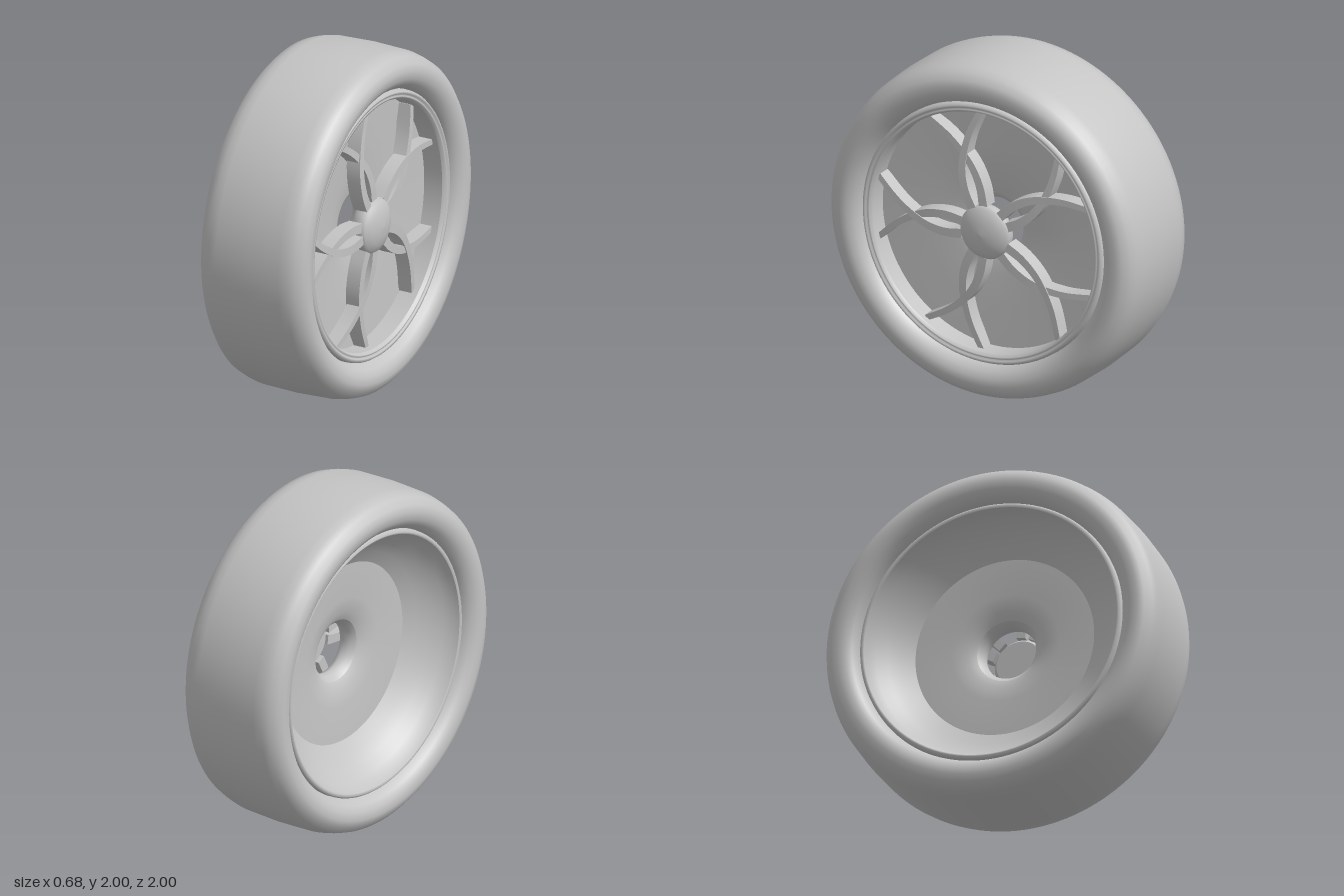
import * as THREE from 'three';

const grey = new THREE.MeshStandardMaterial({ color: 0xc4c4c4, side: THREE.DoubleSide });
grey.name = 'plain grey';

// Revolves a profile of [radius, x] points around the axle (the x axis)
function turned(name, profile, segments = 96) {
  const pts = profile.map(([r, x]) => new THREE.Vector2(r, x));
  const geo = new THREE.LatheGeometry(pts, segments);
  geo.rotateZ(-Math.PI / 2);
  const mesh = new THREE.Mesh(geo, grey);
  mesh.name = name;
  return mesh;
}

// Curved blade from hub to rim: a box bent along a centre line, radial direction +y
function spoke(side) {
  const path = new THREE.SplineCurve([
    [0.148, 0.036], [0.25, 0.05], [0.36, 0.038], [0.46, 0], [0.58, -0.075], [0.70, -0.185],
  ].map(([r, w]) => new THREE.Vector2(r, w * side)));
  const geo = new THREE.BoxGeometry(1, 1, 1, 20, 1, 1);
  const pos = geo.attributes.position;
  for (let i = 0; i < pos.count; i++) {
    const t = pos.getX(i) + 0.5;
    const p = path.getPoint(t), d = path.getTangent(t);
    const w = pos.getY(i) * (0.055 - 0.022 * t);
    const front = 0.26 - 0.03 * t * t - (side < 0 ? 0.006 : 0);
    const x = front - (0.5 - pos.getZ(i)) * 0.085;
    pos.setXYZ(i, x, p.x - d.y * w, p.y + d.x * w);
  }
  geo.computeVertexNormals();
  const mesh = new THREE.Mesh(geo, grey);
  mesh.name = side > 0 ? 'spokeA' : 'spokeB';
  return mesh;
}

export function createModel() {
  const wheel = new THREE.Group();
  wheel.name = 'wheel';
  wheel.position.y = 1;

  // Tyre: tread and both rounded sidewalls, mirrored about the middle
  const half = [[1, 0], [0.993, 0.2], [0.982, 0.25], [0.967, 0.293], [0.93, 0.328],
    [0.89, 0.341], [0.845, 0.335], [0.81, 0.312], [0.785, 0.28], [0.775, 0.24]];
  const back = half.slice(1).reverse().map(([r, x]) => [r, -x]);
  wheel.add(turned('tyre', [...back, ...half], 128));

  // Rim: straight front well, and a deep back barrel narrowing towards the disc
  wheel.add(turned('frontWell', [[0.72, 0.265], [0.72, 0.15]]));
  wheel.add(turned('backBarrel', [[0.53, -0.05], [0.6, -0.095], [0.66, -0.145],
    [0.71, -0.2], [0.738, -0.245], [0.75, -0.28]]));
  wheel.add(turned('frontLip', [[0.778, 0.24], [0.775, 0.275], [0.765, 0.29], [0.752, 0.288],
    [0.746, 0.276], [0.74, 0.284], [0.73, 0.284], [0.72, 0.265]]));
  wheel.add(turned('backLip', [[0.75, -0.28], [0.762, -0.288], [0.775, -0.275], [0.778, -0.24]]));

  // Disc: dished front face running into the bore, and a dished back face
  wheel.add(turned('discFront', [[0.72, 0.15], [0.48, 0.14], [0.3, 0.128], [0.19, 0.113],
    [0.158, 0.098], [0.15, 0.07], [0.155, 0.03], [0.183, 0]]));
  wheel.add(turned('discBack', [[0.183, 0], [0.23, -0.025], [0.32, -0.042], [0.53, -0.05]]));

  // Domed hub cap
  wheel.add(turned('hubBack', [[0, 0.18], [0.135, 0.18]], 48));
  wheel.add(turned('hubCap', [[0.135, 0.18], [0.156, 0.21], [0.16, 0.25], [0.145, 0.27],
    [0.105, 0.29], [0.055, 0.303], [0, 0.307]], 48));

  // Five pairs of crossing spokes
  for (let i = 0; i < 5; i++) {
    const pair = new THREE.Group();
    pair.name = 'spokePair';
    pair.add(spoke(1), spoke(-1));
    pair.rotation.x = THREE.MathUtils.degToRad(18 + 72 * i);
    wheel.add(pair);
  }

  const model = new THREE.Group();
  model.name = 'wheelModel';
  model.add(wheel);
  return model;
}
